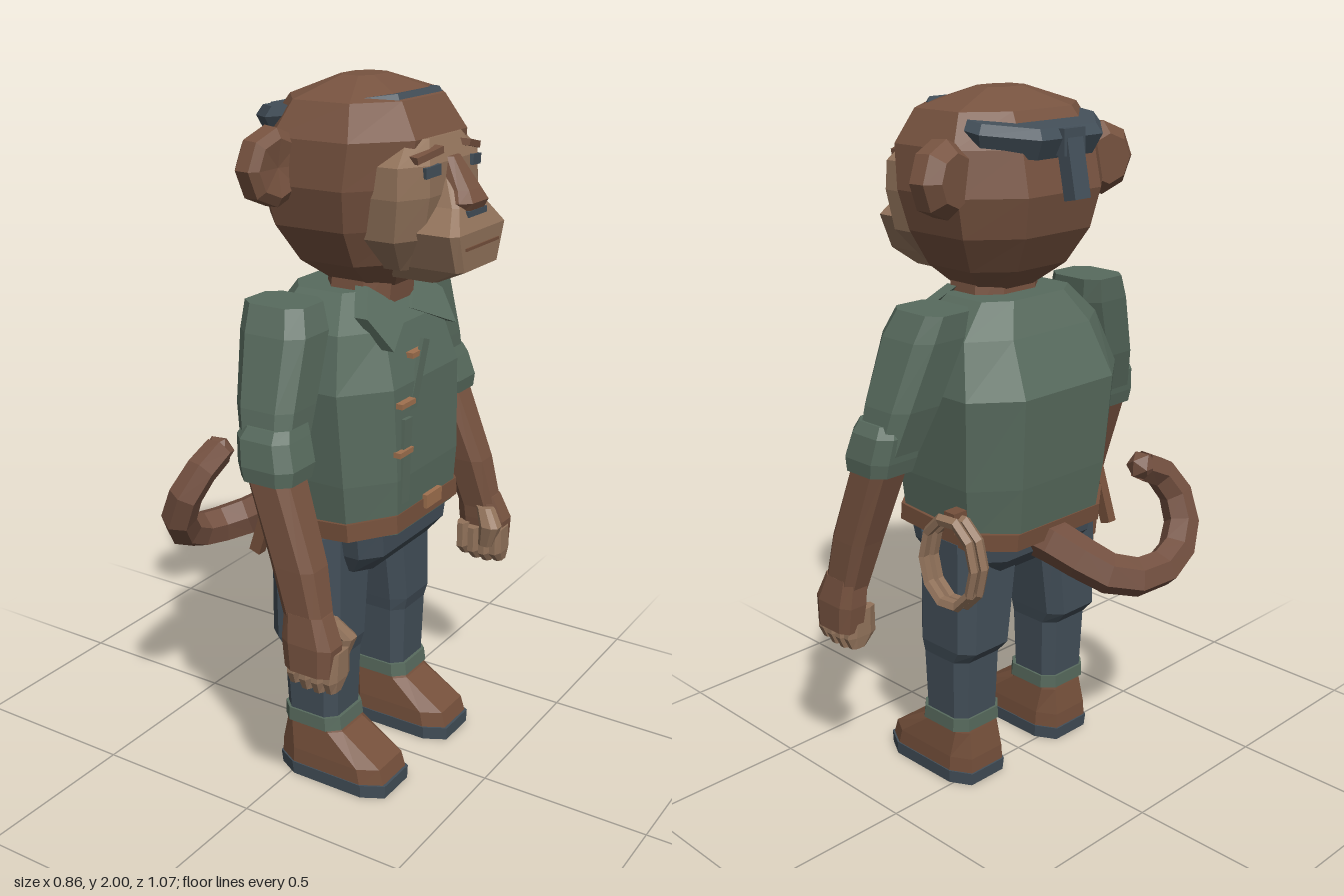
import * as THREE from 'three';

const mat = (name, color, extra = {}) => {
  const m = new THREE.MeshStandardMaterial({ color, flatShading: true, ...extra });
  m.name = name;
  return m;
};

// Octagonal loft: sections [y, xBack, xFront, zCentre, zHalf] listed from bottom to top
function loft(sections, k = 0.5) {
  const corners = [[1, -k], [k, -1], [-k, -1], [-1, -k], [-1, k], [-k, 1], [k, 1], [1, k]];
  const pos = [], idx = [], n = 8;
  for (const [y, x0, x1, cz, hz] of sections)
    for (const [a, b] of corners) pos.push((x0 + x1) / 2 + a * (x1 - x0) / 2, y, cz + b * hz);
  for (let i = 0; i < sections.length - 1; i++)
    for (let j = 0; j < n; j++) {
      const a = i * n + j, b = i * n + (j + 1) % n;
      idx.push(a, b, b + n, a, b + n, a + n);
    }
  const top = (sections.length - 1) * n;
  for (let j = 1; j < n - 1; j++) idx.push(0, j + 1, j, top, top + j, top + j + 1);
  const g = new THREE.BufferGeometry();
  g.setAttribute('position', new THREE.Float32BufferAttribute(pos, 3));
  g.setIndex(idx);
  g.computeVertexNormals();
  return g;
}

// Tapered tube along a list of points
function taperedTube(points, r0, r1, sides, steps) {
  const curve = new THREE.CatmullRomCurve3(points.map(p => new THREE.Vector3(...p)));
  const g = new THREE.TubeGeometry(curve, steps, 1, sides);
  const p = g.attributes.position, c = new THREE.Vector3(), v = new THREE.Vector3();
  for (let i = 0; i < p.count; i++) {
    const t = Math.floor(i / (sides + 1)) / steps;
    curve.getPointAt(t, c);
    v.fromBufferAttribute(p, i).sub(c).multiplyScalar(r0 + (r1 - r0) * t).add(c);
    p.setXYZ(i, v.x, v.y, v.z);
  }
  return g;
}

export function createModel() {
  const root = new THREE.Group();
  const fur = mat('brown fur', 0x775340);
  const skin = mat('tan skin', 0x92735b);
  const shirt = mat('green cloth', 0x586b5e);
  const navy = mat('navy cloth', 0x434f59);
  const leather = mat('brown leather', 0x75503b);
  const orange = mat('copper trim', 0xa0714f);
  const tailFur = mat('tail fur', 0x735040, { side: THREE.DoubleSide });

  const add = (name, geo, m, p = [0, 0, 0], r = [0, 0, 0], parent = root) => {
    const mesh = new THREE.Mesh(geo, m);
    mesh.name = name;
    mesh.position.set(...p);
    mesh.rotation.set(...r);
    parent.add(mesh);
    return mesh;
  };
  const box = (x, y, z) => new THREE.BoxGeometry(x, y, z);

  // Torso, neck, belt and hips
  add('shirtBody', loft([[0.79, -0.16, 0.28, 0, 0.265], [0.95, -0.18, 0.285, 0, 0.285],
    [1.21, -0.2, 0.275, 0, 0.3], [1.36, -0.13, 0.23, 0, 0.26], [1.45, -0.08, 0.16, 0, 0.17]], 0.58), shirt);
  add('neck', loft([[1.38, -0.01, 0.19, 0, 0.13], [1.54, 0, 0.2, 0, 0.115]]), fur);
  add('belt', loft([[-0.025, -0.225, 0.228, 0, 0.28], [0.025, -0.225, 0.228, 0, 0.28]], 0.6), leather,
    [0.06, 0.807, 0], [0, 0, 0.08]);
  add('buckle', box(0.02, 0.04, 0.085), orange, [0.287, 0.843, -0.02]);
  add('hips', loft([[0.665, -0.07, 0.2, 0, 0.2], [0.72, -0.12, 0.245, 0, 0.225],
    [0.8, -0.13, 0.25, 0, 0.24]], 0.75), navy);

  // Shirt details
  add('placket', box(0.012, 0.24, 0.04), shirt, [0.284, 1.0, 0.125], [-0.05, 0, 0]);
  add('upperPlacket', box(0.012, 0.24, 0.035), shirt, [0.272, 1.2, 0.05], [-0.35, 0, 0]);
  for (const [y, z, x] of [[1.03, 0.14, 0.286], [1.165, 0.13, 0.284], [1.28, 0.04, 0.262]])
    add('toggle', box(0.025, 0.015, 0.07), orange, [x, y, z]);

  for (const s of [1, -1]) {
    // the figure faces +x, so its own left is -z
    const side = new THREE.Group();
    side.name = s < 0 ? 'leftSide' : 'rightSide';
    root.add(side);
    const part = (name, geo, m, p, r) => add(name, geo, m, p, r, side);

    // Collar flap leaning back against the chest
    const flap = new THREE.Shape([[0.01, 1.385], [0.17, 1.315], [0.2, 1.4], [0.12, 1.465]]
      .map(([z, y]) => new THREE.Vector2(-s * z, y)));
    const flapGeo = new THREE.ExtrudeGeometry(flap, { depth: 0.04, bevelEnabled: false }).rotateY(Math.PI / 2);
    const fp = flapGeo.attributes.position;
    for (let i = 0; i < fp.count; i++) fp.setX(i, fp.getX(i) + 0.235 - (fp.getY(i) - 1.31) * 0.75);
    flapGeo.computeVertexNormals();
    part('collarFlap', flapGeo, shirt);

    // Sleeve, rolled cuff, forearm and hand
    part('sleeve', loft([[1.05, 0, 0.14, s * 0.435, 0.07], [1.2, -0.04, 0.14, s * 0.39, 0.085],
      [1.38, -0.07, 0.135, s * 0.325, 0.09], [1.45, -0.075, 0.11, s * 0.305, 0.075]], 0.6), shirt);
    part('sleeveCuff', loft([[1.02, 0.005, 0.165, s * 0.445, 0.075], [1.06, -0.005, 0.17, s * 0.44, 0.083],
      [1.13, -0.015, 0.15, s * 0.43, 0.08], [1.16, 0, 0.14, s * 0.42, 0.07]], 0.6), shirt);
    part('forearm', loft([[0.64, 0.15, 0.27, s * 0.48, 0.042], [0.8, 0.1, 0.235, s * 0.465, 0.055],
      [1.05, 0.01, 0.145, s * 0.445, 0.065]], 0.6), fur);
    part('palm', loft([[0.52, 0.155, 0.295, s * 0.495, 0.04], [0.6, 0.145, 0.3, s * 0.49, 0.045],
      [0.68, 0.145, 0.265, s * 0.48, 0.042]], 0.6), fur);
    for (let i = 0; i < 4; i++)
      part('finger', loft([[0.455, 0, 0.03, s * 0.48, 0.025], [0.49, -0.003, 0.036, s * 0.47, 0.05],
        [0.57, -0.003, 0.036, s * 0.465, 0.045]]), skin, [0.155 + i * 0.038, Math.abs(i - 1.5) * 0.008, 0]);
    part('thumb', loft([[0.53, 0.24, 0.285, s * 0.425, 0.02], [0.6, 0.245, 0.31, s * 0.42, 0.028],
      [0.65, 0.22, 0.27, s * 0.445, 0.025]]), skin);

    // Trouser leg, turn-up, boot and sole
    part('trouserLeg', loft([[0.19, -0.03, 0.14, s * 0.185, 0.083], [0.4, -0.04, 0.145, s * 0.185, 0.09],
      [0.44, -0.075, 0.155, s * 0.185, 0.097], [0.78, -0.08, 0.15, s * 0.16, 0.122]], 0.65), navy);
    part('trouserCuff', loft([[0.175, -0.038, 0.155, s * 0.185, 0.092],
      [0.215, -0.038, 0.15, s * 0.185, 0.09]], 0.65), shirt);
    part('boot', loft([[0.035, -0.05, 0.3, s * 0.183, 0.097], [0.085, -0.048, 0.285, s * 0.183, 0.094],
      [0.165, -0.035, 0.155, s * 0.183, 0.083], [0.19, -0.03, 0.14, s * 0.183, 0.08]], 0.65), leather);
    part('sole', loft([[0, -0.05, 0.305, s * 0.183, 0.098], [0.04, -0.055, 0.306, s * 0.183, 0.1]], 0.65), navy);

    // Ear: thick bevelled disc with a shallow front dish
    const ear = new THREE.LatheGeometry([[0, -0.05], [0.07, -0.05], [0.103, -0.015], [0.1, 0.03],
      [0.075, 0.045], [0, 0.032]].map(p => new THREE.Vector2(...p)), 8);
    ear.rotateZ(-Math.PI / 2);
    part('ear', ear, fur, [-0.025, 1.79, s * 0.3], [0, -s * 0.2, 0]);

    // Eye and brow
    part('eye', box(0.012, 0.028, 0.06), navy, [0.342, 1.785, s * 0.115], [s * 0.08, -s * 0.15, 0]);
    part('brow', box(0.03, 0.018, 0.1), fur, [0.325, 1.825, s * 0.115], [s * 0.2, -s * 0.2, 0]);
  }

  // Head and face
  add('head', loft([[1.46, 0, 0.2, 0, 0.1], [1.53, -0.09, 0.24, 0, 0.19], [1.63, -0.15, 0.27, 0, 0.25],
    [1.74, -0.175, 0.295, 0, 0.278], [1.86, -0.15, 0.305, 0, 0.272], [1.95, -0.09, 0.25, 0, 0.222],
    [2, 0.02, 0.12, 0, 0.07]], 0.5), fur);
  add('face', loft([[1.52, 0.12, 0.29, 0, 0.12], [1.61, 0.12, 0.325, 0, 0.2], [1.72, 0.12, 0.345, 0, 0.215],
    [1.8, 0.12, 0.342, 0, 0.21], [1.86, 0.15, 0.315, 0, 0.14]], 0.6), skin);
  add('muzzle', loft([[1.49, 0.2, 0.34, 0, 0.08], [1.53, 0.2, 0.428, 0, 0.105], [1.63, 0.2, 0.43, 0, 0.145],
    [1.69, 0.2, 0.4, 0, 0.085], [1.77, 0.2, 0.35, 0, 0.04]], 0.85), skin);
  add('nose', loft([[1.672, 0.3, 0.41, 0, 0.055], [1.7, 0.3, 0.422, 0, 0.072], [1.73, 0.3, 0.405, 0, 0.055],
    [1.81, 0.28, 0.35, 0, 0.03]], 0.6), fur);
  add('nostrils', box(0.03, 0.016, 0.1), navy, [0.4, 1.672, 0]);
  add('mouth', box(0.008, 0.008, 0.18), leather, [0.429, 1.59, 0]);

  // Headband sunk into the crown, showing at the back and brow, with a knot and loose end
  add('headband', loft([[-0.05, -0.21, 0.2, 0, 0.21], [0.005, -0.23, 0.22, 0, 0.23],
    [0.03, -0.21, 0.21, 0, 0.212]], 0.5), navy, [0.03, 1.91, 0], [0, 0, 0.13]);
  add('headbandKnot', box(0.05, 0.07, 0.08), navy, [-0.18, 1.875, 0]);
  add('headbandEnd', box(0.04, 0.17, 0.06), navy, [-0.2, 1.81, 0], [0, 0, -0.2]);

  // Curled tail with closing cap
  const tip = [-0.275, 0.945, 0.225];
  add('tail', taperedTube([[-0.08, 0.76, -0.02], [-0.2, 0.73, 0], [-0.3, 0.675, 0.05], [-0.365, 0.655, 0.14],
    [-0.375, 0.68, 0.25], [-0.345, 0.75, 0.33], [-0.31, 0.83, 0.345], [-0.28, 0.905, 0.305], tip],
    0.066, 0.045, 6, 10), tailFur);
  add('tailTip', new THREE.IcosahedronGeometry(0.045, 0), tailFur, tip);

  // Rope coil on the left hip and a slim sheath on the right
  for (const i of [0, 1])
    add('ropeCoil', new THREE.TorusGeometry(0.13, 0.018, 5, 10).scale(0.7, 1, 1), skin,
      [-0.06 + i * 0.008, 0.745, -0.297 - i * 0.03], [0, 0.12, 0]);
  add('ropeLoop', box(0.04, 0.06, 0.06), leather, [-0.055, 0.865, -0.295]);
  add('sheath', box(0.035, 0.27, 0.03), leather, [-0.055, 0.83, 0.29], [0, 0, -0.32]);

  return root;
}
